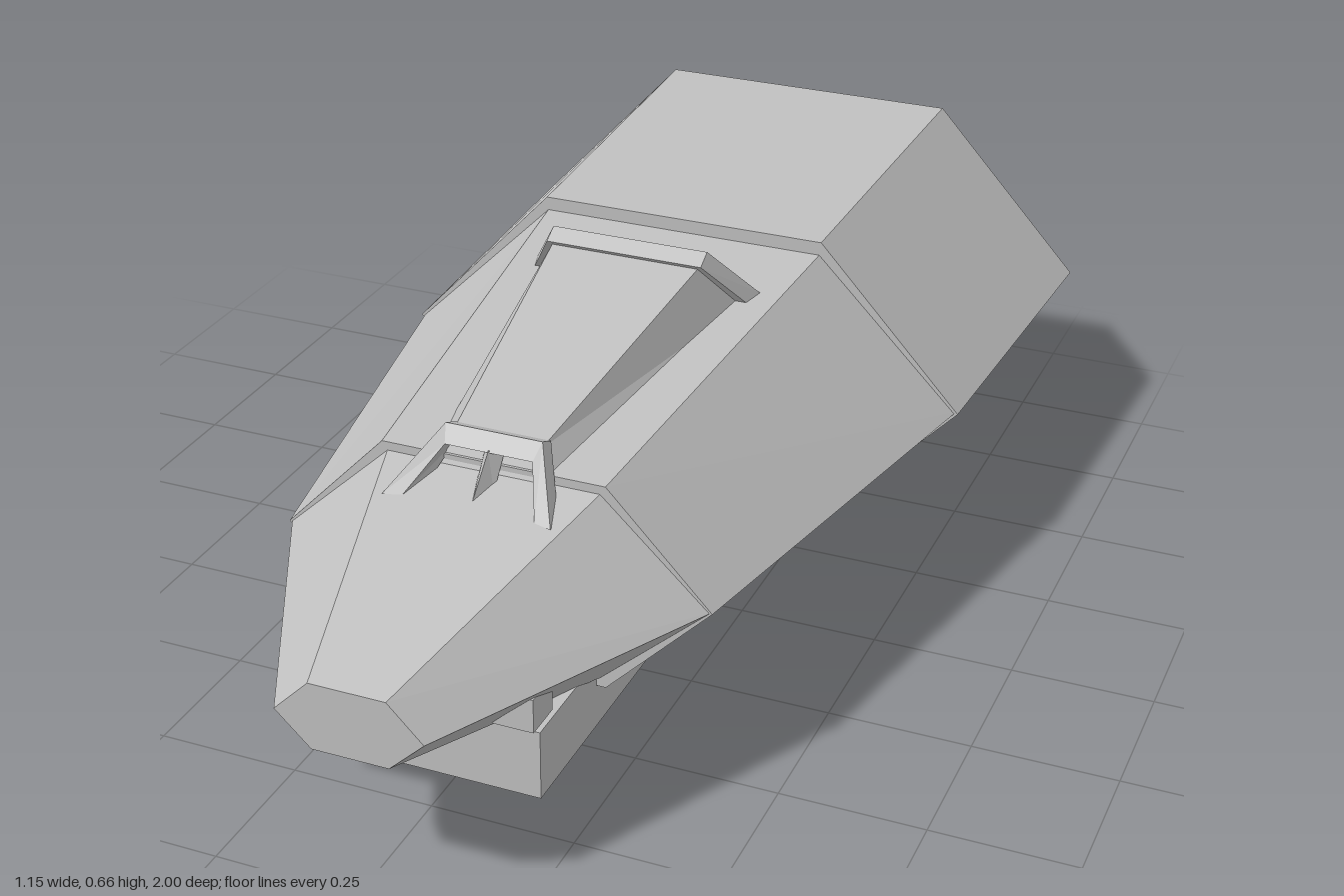
import * as THREE from 'three';

const grey = new THREE.MeshStandardMaterial({ color: 0xc0c0c0, flatShading: true });
grey.name = 'hull grey';

// Capped loft through rings of equal point count, wound outward by its signed volume
function loft(name, rings) {
  const tris = [];
  const n = rings[0].length;
  const last = rings[rings.length - 1];
  for (let i = 0; i < rings.length - 1; i++) {
    for (let j = 0; j < n; j++) {
      const k = (j + 1) % n;
      const a = rings[i][j], b = rings[i][k], c = rings[i + 1][k], d = rings[i + 1][j];
      tris.push([a, b, c], [a, c, d]);
    }
  }
  for (let j = 1; j < n - 1; j++) {
    tris.push([rings[0][0], rings[0][j + 1], rings[0][j]]);
    tris.push([last[0], last[j], last[j + 1]]);
  }
  let volume = 0;
  for (const [a, b, c] of tris) {
    volume += new THREE.Vector3(...a).dot(new THREE.Vector3(...b).cross(new THREE.Vector3(...c)));
  }
  if (volume < 0) tris.forEach((t) => t.reverse());
  const geometry = new THREE.BufferGeometry();
  geometry.setAttribute('position', new THREE.Float32BufferAttribute(tris.flat(2), 3));
  geometry.computeVertexNormals();
  const mesh = new THREE.Mesh(geometry, grey);
  mesh.name = name;
  return mesh;
}

function box(name, w, h, d, x, y, z) {
  const mesh = new THREE.Mesh(new THREE.BoxGeometry(w, h, d), grey);
  mesh.name = name;
  mesh.position.set(x, y, z);
  return mesh;
}

// Hexagonal hull section, widest at y = 0.31
const hex = (z, wide, flat, top, bottom) => [
  [wide, 0.31, z], [flat, top, z], [-flat, top, z],
  [-wide, 0.31, z], [-flat, bottom, z], [flat, bottom, z],
];

// Canopy section: base corners and top corners
const trapezoid = (baseW, baseY, baseZ, topW, topY, topZ) => [
  [baseW, baseY, baseZ], [topW, topY, topZ], [-topW, topY, topZ], [-baseW, baseY, baseZ],
];

// Frame arch running foot, top, then mirrored to the other side
function arch(name, foot, top) {
  const mirror = (ring) => ring.map(([x, y, z]) => [-x, y, z]);
  return loft(name, [foot, top, mirror(top), mirror(foot)]);
}

export function createModel() {
  const model = new THREE.Group();
  model.name = 'spacecraftHull';

  // Three stepped hull segments
  model.add(
    loft('rearHull', [hex(-1, 0.575, 0.288, 0.62, 0), hex(-0.31, 0.542, 0.27, 0.602, 0.02)]),
    loft('middleHull', [hex(-0.32, 0.537, 0.268, 0.578, 0.045), hex(0.5, 0.38, 0.197, 0.5, 0.125)]),
    loft('nose', [hex(0.49, 0.38, 0.19, 0.487, 0.14), hex(1, 0.125, 0.065, 0.37, 0.253)]),
  );

  // Chin box and small side blocks under the nose
  model.add(box('chinBox', 0.36, 0.125, 1.03, 0, 0.108, 0.205));
  for (const side of [1, -1]) {
    model.add(box(side > 0 ? 'leftBlock' : 'rightBlock', 0.07, 0.06, 0.07, side * 0.167, 0.25, 0.755));
  }

  // Canopy body
  model.add(loft('canopy', [
    trapezoid(0.192, 0.545, -0.13, 0.138, 0.64, -0.05),
    trapezoid(0.12, 0.47, 0.51, 0.078, 0.533, 0.48),
  ]));

  // Slanted frames at the back and front of the canopy
  model.add(arch('rearCanopyFrame',
    [[0.215, 0.56, -0.15], [0.208, 0.55, -0.115], [0.183, 0.55, -0.115], [0.188, 0.56, -0.15]],
    [[0.145, 0.662, -0.065], [0.145, 0.645, -0.035], [0.128, 0.625, -0.052], [0.128, 0.64, -0.082]]));
  model.add(arch('frontCanopyFrame',
    [[0.147, 0.464, 0.6], [0.138, 0.455, 0.55], [0.1, 0.455, 0.55], [0.115, 0.464, 0.59]],
    [[0.085, 0.552, 0.49], [0.085, 0.538, 0.458], [0.077, 0.512, 0.475], [0.077, 0.525, 0.512]]));

  // Wedge-shaped post in the windshield
  model.add(loft('windshieldPost', [
    [[0.017, 0.465, 0.53], [0, 0.465, 0.575], [-0.017, 0.465, 0.53]],
    [[0.017, 0.528, 0.48], [0, 0.528, 0.512], [-0.017, 0.528, 0.48]],
  ]));

  return model;
}
